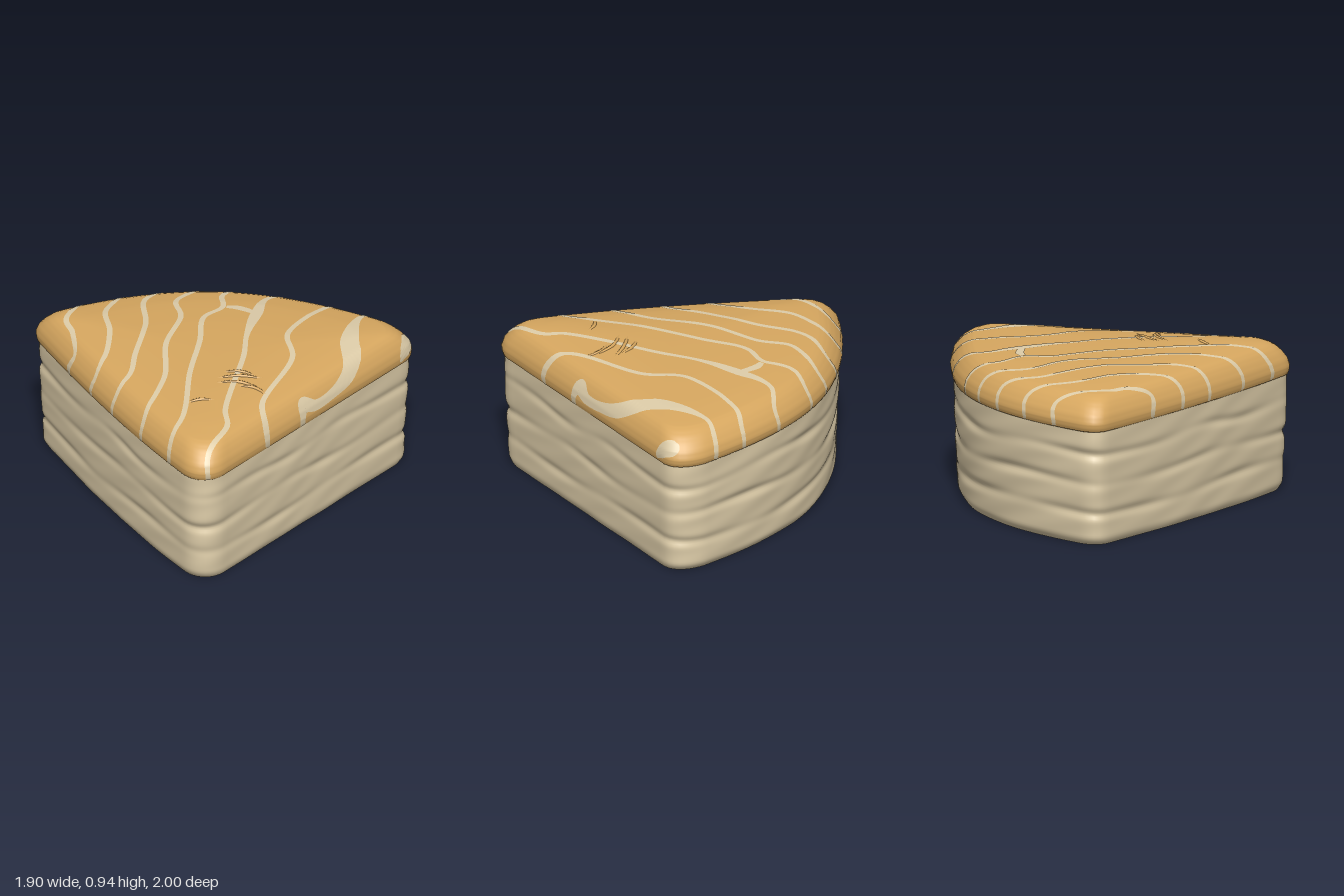
import * as THREE from 'three';
import { mergeVertices } from 'three/addons/utils/BufferGeometryUtils.js';

const mat = (name, color) => {
  const m = new THREE.MeshStandardMaterial({ color, side: THREE.DoubleSide });
  m.name = name;
  return m;
};

// Rounded wedge outline (x, z) around a centre, turned into a radius per angle
const CX = -0.25, CZ = 0.1;
const outline = new THREE.Path()
  .moveTo(-0.885, -0.9)
  .quadraticCurveTo(-0.98, 0.1, -0.935, 0.85)
  .bezierCurveTo(-0.93, 0.97, -0.83, 1.04, -0.7, 0.975)
  .lineTo(0.87, 0.375)
  .bezierCurveTo(0.95, 0.34, 0.97, 0.25, 0.92, 0.13)
  .bezierCurveTo(0.56, -0.49, 0.165, -0.925, -0.76, -1)
  .bezierCurveTo(-0.84, -1, -0.88, -0.96, -0.885, -0.9);
const polar = outline.getSpacedPoints(800).slice(0, 800)
  .map((p) => [Math.atan2(p.y - CZ, p.x - CX), Math.hypot(p.x - CX, p.y - CZ)])
  .sort((a, b) => a[0] - b[0]);

// Linear lookup in rows sorted by their first entry
function lookup(rows, key, col) {
  if (key <= rows[0][0]) return rows[0][col];
  for (let i = 1; i < rows.length; i++) {
    if (key <= rows[i][0]) {
      const a = rows[i - 1], b = rows[i];
      return a[col] + (b[col] - a[col]) * (key - a[0]) / (b[0] - a[0] || 1);
    }
  }
  return rows[rows.length - 1][col];
}
const radius = (angle) => lookup(polar, angle, 1);

// Icing section: unrolled distance, share of the outline radius, height
const section = [
  [0, 0, 0.937], [0.4, 0.4, 0.931], [0.7, 0.7, 0.912], [0.86, 0.86, 0.89], [0.9, 0.895, 0.876],
  [0.94, 0.927, 0.855], [0.988, 0.957, 0.825], [1.05, 0.986, 0.785], [1.118, 1, 0.742],
  [1.15, 0.997, 0.715], [1.175, 0.99, 0.695], [1.2, 0.97, 0.686],
];
function onIcing(angle, q, lift = 0) {
  const rim = THREE.MathUtils.clamp((q - 0.8) / 0.15, 0, 1);
  const r = lookup(section, q, 1) * radius(angle) + lift * rim;
  const y = lookup(section, q, 2) + (q > 1.118 ? 0 : lift);
  return [CX + r * Math.cos(angle), y, CZ + r * Math.sin(angle)];
}

// Surface from a grid of points
function grid(rows, cols, point) {
  const pos = [], index = [];
  for (let i = 0; i <= rows; i++) {
    for (let j = 0; j <= cols; j++) {
      pos.push(...point(i / rows, j / cols));
      if (i < rows && j < cols) {
        const a = i * (cols + 1) + j, c = a + cols + 1;
        index.push(a, a + 1, c, a + 1, c + 1, c);
      }
    }
  }
  let g = new THREE.BufferGeometry();
  g.setAttribute('position', new THREE.Float32BufferAttribute(pos, 3));
  g.setIndex(index);
  g = mergeVertices(g, 1e-5);
  g.computeVertexNormals();
  return g;
}

// Icing stripe through (x, z, width) points; open ends run down over the rim
function stripe(points, lift, openEnds) {
  const over = ([x, z, w]) => {
    const a = Math.atan2(z - CZ, x - CX), r = radius(a) * 1.17;
    return [CX + r * Math.cos(a), CZ + r * Math.sin(a), w];
  };
  const pts = openEnds ? [over(points[0]), ...points, over(points[points.length - 1])] : points;
  const curve = new THREE.CatmullRomCurve3(
    pts.map(([x, z, w = 0.032]) => new THREE.Vector3(x, w, z)), false, 'centripetal');
  return grid(pts.length * 16, 6, (u, v) => {
    const p = curve.getPoint(u), t = curve.getTangent(u), n = Math.hypot(t.x, t.z) || 1;
    const s = (v - 0.5) * p.y / n;
    const x = p.x - t.z * s - CX, z = p.z + t.x * s - CZ;
    const a = Math.atan2(z, x);
    return onIcing(a, Math.min(Math.hypot(x, z) / radius(a), 1.18), lift);
  });
}

// Stripes near the back corner, then those towards the front edge
const backStripes = [
  [[-0.55, -0.96], [-0.78, -0.75], [-0.82, -0.61], [-0.91, -0.48]],
  [[-0.31, -0.9], [-0.55, -0.69], [-0.65, -0.47], [-0.82, -0.25], [-0.93, -0.2]],
  [[-0.07, -0.81], [-0.28, -0.7], [-0.43, -0.43], [-0.66, -0.16], [-0.79, 0], [-0.93, 0.06]],
  [[0.12, -0.71], [-0.13, -0.59], [-0.21, -0.4], [-0.45, -0.16], [-0.65, 0.16], [-0.93, 0.39]],
];
const frontStripes = [
  [[0.31, -0.61], [0.14, -0.52], [0.06, -0.38], [-0.1, -0.32], [-0.27, -0.08], [-0.5, 0.2], [-0.77, 0.58], [-0.93, 0.7]],
  [[0.56, -0.37], [0.35, -0.36], [0.19, -0.21, 0.07], [0, 0], [-0.13, 0.19], [-0.53, 0.66], [-0.6, 0.8], [-0.82, 0.96]],
  [[0.75, -0.13], [0.61, -0.11], [0.22, 0.1], [0.11, 0.34], [-0.3, 0.69], [-0.35, 0.84, 0.045]],
  [[0.87, 0.06], [0.72, 0.09], [0.51, 0.32, 0.11], [0.45, 0.45, 0.12], [0.39, 0.55, 0.1], [0.26, 0.645, 0.065],
    [0.1, 0.715, 0.065], [-0.01, 0.72, 0.09], [-0.02, 0.79, 0.055]],
];
const patches = [
  [[0.88, 0.335, 0.05], [0.91, 0.35, 0.13], [0.96, 0.37, 0.15], [1.0, 0.385, 0.12], [1.02, 0.395, 0.04]],
  [[0.08, -0.37, 0.03], [0.13, -0.33, 0.05], [0.19, -0.22, 0.04]],
];
const folds = [
  [[-0.68, 0.47], [-0.6, 0.49], [-0.53, 0.54]], [[-0.44, 0.37], [-0.3, 0.44], [-0.21, 0.59]],
  [[-0.4, 0.33], [-0.27, 0.38], [-0.15, 0.46]], [[-0.33, 0.46], [-0.25, 0.53], [-0.22, 0.66]],
  [[-0.33, 0.29], [-0.24, 0.34], [-0.18, 0.42]],
];

export function createModel() {
  const model = new THREE.Group();
  const cream = mat('cream', 0xdecda9), caramel = mat('caramel', 0xd8a860);
  const add = (name, geo, material) => {
    const m = new THREE.Mesh(geo, material);
    m.name = name;
    model.add(m);
  };
  const angleAt = (v) => (v === 1 ? -Math.PI : -Math.PI + v * Math.PI * 2);

  // Hollow side wall with wavy sponge layers, open underneath
  const seams = [0.19, 0.37, 0.55];
  add('spongeWall', grid(56, 240, (u, v) => {
    const a = angleAt(v), y = 0.005 + 0.69 * (1 - u);
    let f = 0.957 + 0.025 * Math.min(1, y / 0.55);
    seams.forEach((s, i) => {
      const d = (y - s - 0.016 * Math.sin(a * (3 + i) + i * 2)) / 0.028;
      f -= (0.01 + 0.006 * Math.sin(a * 5 + i * 3)) * Math.exp(-d * d);
    });
    f += 0.003 * Math.sin(a * 9 + y * 24) * Math.sin(y * 17 + a * 2);
    f -= 0.03 * Math.max(0, 1 - y / 0.06) ** 2;
    const r = f * radius(a);
    return [CX + r * Math.cos(a), y, CZ + r * Math.sin(a)];
  }), cream);

  // Icing cap with rounded overhanging rim
  const steps = section.length - 1;
  add('icing', grid(steps * 3, 240, (u, v) => {
    const s = u * steps, i = Math.min(Math.floor(s + 1e-6), steps - 1);
    return onIcing(angleAt(v), THREE.MathUtils.lerp(section[i][0], section[i + 1][0], s - i));
  }), caramel);

  // Drizzled stripes, showing on the top and through to the underside
  for (const [side, lift] of [['Top', 0.0025], ['Under', -0.0025]]) {
    for (const p of [...backStripes, ...frontStripes]) add('stripe' + side, stripe(p, lift, true), cream);
    for (const p of patches) add('patch' + side, stripe(p, lift, false), cream);
  }

  // Small raised folds in the icing
  for (const p of folds) {
    const curve = new THREE.CatmullRomCurve3(p.map(([x, z], i) => {
      const a = Math.atan2(z - CZ, x - CX), q = Math.hypot(x - CX, z - CZ) / radius(a);
      return new THREE.Vector3(...onIcing(a, q, i === 1 ? -0.002 : -0.012));
    }));
    add('icingFold', new THREE.TubeGeometry(curve, 16, 0.012, 8), caramel);
  }
  return model;
}
